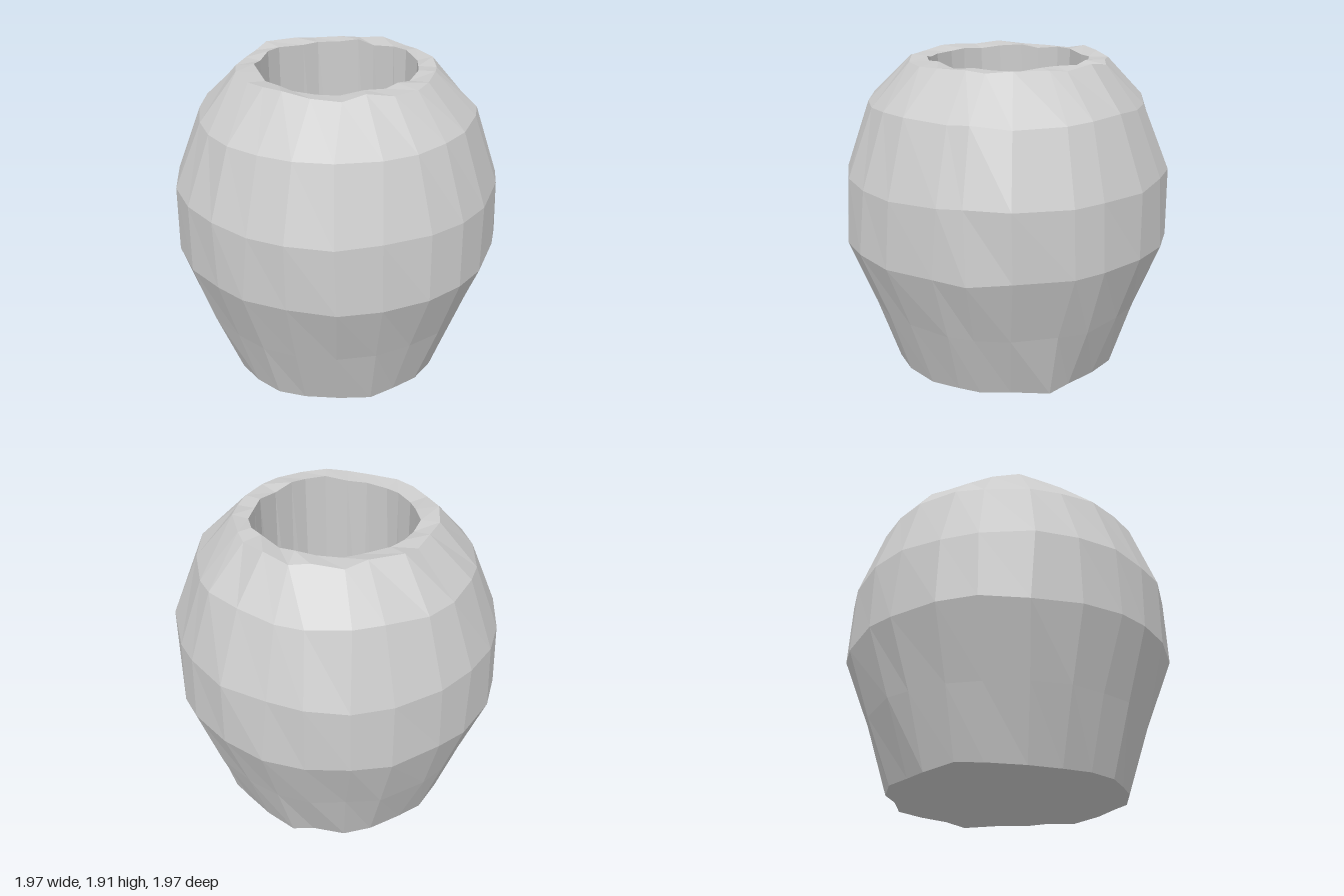
import * as THREE from 'three';

const SIDES = 24;

// Profile rings shared by the parts: radius, height, and how far each may wander
const RINGS = [
  { r: 0, y: 0.015, dr: 0, dy: 0 },          // 0 centre of the base
  { r: 0.7, y: 0.017, dr: 0.018, dy: 0.017 }, // 1 base edge
  { r: 0.845, y: 0.425, dr: 0.012, dy: 0.012 },
  { r: 0.988, y: 0.83, dr: 0.012, dy: 0.014 }, // 3 widest ring
  { r: 0.975, y: 1.23, dr: 0.012, dy: 0.014 },
  { r: 0.822, y: 1.64, dr: 0.012, dy: 0.014 },
  { r: 0.585, y: 1.893, dr: 0.02, dy: 0.016 }, // 6 outer lip
  { r: 0.475, y: 1.886, dr: 0.015, dy: 0.014 }, // 7 inner lip
  { r: 0.475, y: 0.2, dr: 0.012, dy: 0 },      // 8 foot of the cavity wall
  { r: 0, y: 0.2, dr: 0, dy: 0 },              // 9 centre of the cavity floor
];

// Repeatable noise in -1..1
function noise(a, b, c) {
  const s = Math.sin(a * 12.9898 + b * 78.233 + c * 37.719) * 43758.5453;
  return (s - Math.floor(s)) * 2 - 1;
}

// Lathe the rings first..last, then nudge each vertex for the rough-hewn look
function turnedPart(name, first, last, material) {
  const rings = RINGS.slice(first, last + 1);
  const geometry = new THREE.LatheGeometry(rings.map(p => new THREE.Vector2(p.r, p.y)), SIDES);
  const pos = geometry.attributes.position;
  for (let i = 0; i <= SIDES; i++) {
    rings.forEach((p, j) => {
      const column = i % SIDES, ring = first + j;
      const radius = p.r + p.dr * noise(column, ring, 1);
      // each column leans as a whole, with a little extra wander per ring
      const angle = (column / SIDES) * Math.PI * 2 + 0.04 * noise(column, 0, 4) + 0.025 * noise(column, ring, 2);
      const y = p.y + p.dy * noise(column, ring, 3);
      const shift = ring >= 6 ? -0.02 : 0; // the mouth sits slightly to the back
      pos.setXYZ(i * rings.length + j, radius * Math.sin(angle), y, radius * Math.cos(angle) + shift);
    });
  }
  const faceted = geometry.toNonIndexed();
  faceted.computeVertexNormals();
  const mesh = new THREE.Mesh(faceted, material);
  mesh.name = name;
  return mesh;
}

export function createModel() {
  const material = new THREE.MeshStandardMaterial({ color: 0xcccccc, flatShading: true });
  const pot = new THREE.Group();
  pot.name = 'pot';
  pot.add(
    turnedPart('base', 0, 1, material),
    turnedPart('body', 1, 6, material),
    turnedPart('rim', 6, 7, material),
    turnedPart('cavity', 7, 9, material),
  );
  return pot;
}
